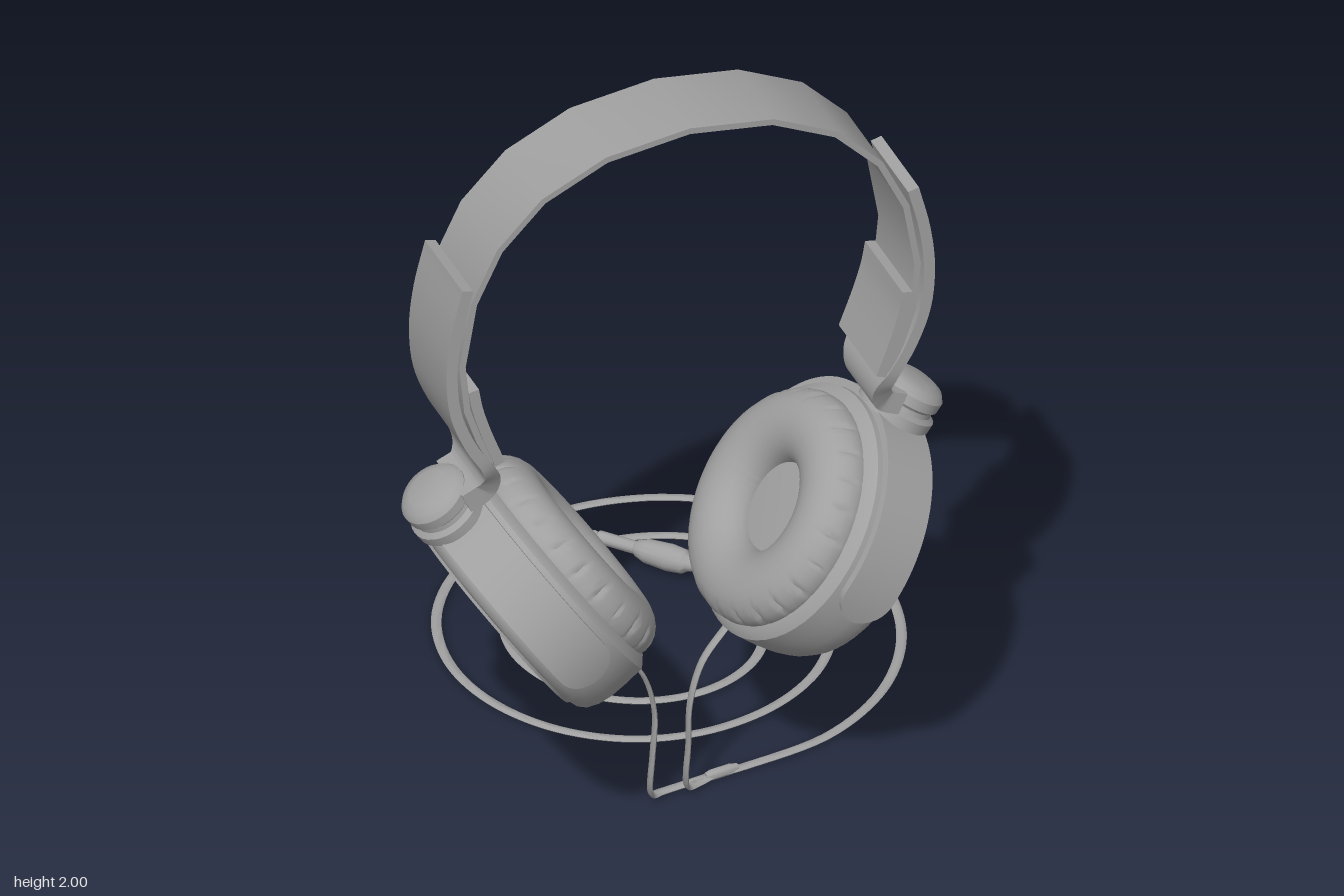
import * as THREE from 'three';
import { toCreasedNormals } from 'three/addons/utils/BufferGeometryUtils.js';

const grey = new THREE.MeshStandardMaterial({ color: 0xa0a0a0 });
const V = (x, y, z = 0) => new THREE.Vector3(x, y, z);
const Z = V(0, 0, 1), Y = V(0, 1, 0);
const RECT = [[1, 1], [-1, 1], [-1, -1], [1, -1]];
const OVAL = Array.from({ length: 10 }, (_, i) => [Math.cos(i * Math.PI / 5), Math.sin(i * Math.PI / 5)]);

function mesh(name, geometry, crease = 0.9) {
  const m = new THREE.Mesh(toCreasedNormals(geometry, crease), grey);
  m.name = name;
  return m;
}

// Carries a closed section along points; side(t) gives the width direction, size(k) the half sizes
function sweep(points, section, side, size) {
  const n = section.length, last = points.length - 1, pos = [], idx = [];
  points.forEach((p, i) => {
    const t = points[Math.min(i + 1, last)].clone().sub(points[Math.max(i - 1, 0)]).normalize();
    const w = side(t).clone();
    w.addScaledVector(t, -w.dot(t)).normalize();
    const h = t.clone().cross(w);
    const [a, b] = size(i / last);
    for (const [u, v] of section) {
      pos.push(...p.clone().addScaledVector(w, u * a).addScaledVector(h, v * b).toArray());
    }
  });
  for (let i = 0; i < last; i++) {
    for (let j = 0; j < n; j++) {
      const a = i * n + j, b = i * n + (j + 1) % n;
      idx.push(a, b, b + n, a, b + n, a + n);
    }
  }
  for (let j = 1; j < n - 1; j++) {
    idx.push(0, j + 1, j, last * n, last * n + j, last * n + j + 1);
  }
  const g = new THREE.BufferGeometry();
  g.setAttribute('position', new THREE.Float32BufferAttribute(pos, 3));
  g.setIndex(idx);
  return g;
}

const smooth = (pts, n) => new THREE.CatmullRomCurve3(pts, false, 'centripetal').getPoints(n);
// Profile rows are [radius, height], listed from the bottom up
const lathe = (rows, n) => new THREE.LatheGeometry(rows.map(([r, y]) => new THREE.Vector2(r, y)), n);

// Ring cushion with short fine creases round its rim
function cushion() {
  const g = new THREE.TorusGeometry(0.2, 0.09, 24, 192).rotateX(Math.PI / 2).scale(1, 0.85, 1);
  const p = g.attributes.position;
  for (let i = 0; i < p.count; i++) {
    const x = p.getX(i), y = p.getY(i), z = p.getZ(i), r = Math.hypot(x, z);
    const tube = Math.atan2(y / 0.85, r - 0.2);
    const rim = Math.max(0, 1 - Math.abs(tube - 0.35) / 0.45);
    const crease = Math.pow(Math.abs(Math.cos(12 * Math.atan2(z, x))), 30);
    const k = 0.01 * rim * crease;
    p.setXYZ(i, x * (1 - k / r), y - k * 0.5, z * (1 - k / r));
  }
  return g;
}

// Ear cup in its own frame: y points to the head, x up along the cup
function earCup() {
  const cup = new THREE.Group();
  cup.name = 'earCup';
  const shell = mesh('cupShell', lathe([
    [0, 0.012], [0.238, 0.012], [0.242, -0.004], [0.264, -0.004], [0.268, 0.003], [0.287, 0.009],
    [0.303, 0.024], [0.314, 0.05], [0.319, 0.085], [0.319, 0.13], [0.316, 0.18], [0.295, 0.2], [0.2, 0.215], [0, 0.215],
  ], 56), 0.7);
  const pad = mesh('earCushion', cushion(), 1);
  pad.position.y = 0.213;

  // Half-ring yoke with rounded ends
  const arc = [], reach = 1.81;
  for (let i = 0; i <= 72; i++) {
    const a = -reach * Math.cos(i / 72 * Math.PI);
    arc.push(V(0.326 * Math.cos(a), 0.098, 0.326 * Math.sin(a)));
  }
  const yoke = mesh('yoke', sweep(arc, RECT, () => Y, k => {
    const a = reach * Math.abs(Math.cos(k * Math.PI));
    const e = Math.max(0, (a - reach + 0.23) / 0.23);
    return [Math.max(0.012, 0.068 * Math.sqrt(1 - e * e)), 0.01];
  }));

  // Swivel on top of the yoke
  const swivel = mesh('swivelKnob', lathe([
    [0, 0.32], [0.094, 0.325], [0.094, 0.352], [0.08, 0.36], [0.078, 0.372],
    [0.086, 0.38], [0.086, 0.405], [0.073, 0.422], [0.05, 0.43], [0, 0.432],
  ], 32), 0.6);
  swivel.rotation.z = -Math.PI / 2;
  swivel.position.y = 0.09;
  cup.add(shell, pad, yoke, swivel);
  cup.position.set(0.445, 0.67, 0);
  cup.rotation.z = 0.96;
  return cup;
}

// One side: cup, outer arm and inner sleeve, with the band held between them
function side(name) {
  const g = new THREE.Group();
  g.name = name;
  const armPath = smooth([
    V(0.562, 1.685), V(0.59, 1.57), V(0.602, 1.46), V(0.592, 1.345), V(0.555, 1.245),
    V(0.511, 1.17), V(0.493, 1.125), V(0.503, 1.085), V(0.55, 1.06),
  ], 40);
  const arm = mesh('outerArm', sweep(armPath, RECT, () => Z, k => {
    const e = THREE.MathUtils.smoothstep(k, 0.58, 0.9);
    return [0.116 - 0.036 * e, 0.014 + 0.014 * e];
  }));
  const sleevePath = smooth([V(0.547, 1.4), V(0.537, 1.345), V(0.516, 1.275), V(0.48, 1.178)], 14);
  const sleeve = mesh('innerSleeve', sweep(sleevePath, RECT, () => Z, () => [0.116, 0.013]));
  g.add(earCup(), arm, sleeve);
  return g;
}

// Flat cable
const cable = (name, pts, n, dir) =>
  mesh(name, sweep(smooth(pts, n), OVAL, dir, () => [0.0125, 0.0055]), 1.1);

// Turned part laid along a line between two points
function turned(name, rows, from, to) {
  const m = mesh(name, lathe(rows, 18), 0.6);
  m.position.copy(from);
  m.quaternion.setFromUnitVectors(Y, to.clone().sub(from).normalize());
  return m;
}

export function createModel() {
  const model = new THREE.Group();
  model.name = 'headphones';

  const headset = new THREE.Group();
  headset.name = 'headset';
  headset.position.set(-0.083, 0, 0.465);

  // Faceted headband, mirrored about its top
  const half = [[0.21, 1.963], [0.37, 1.887], [0.48, 1.775], [0.545, 1.64], [0.574, 1.47], [0.562, 1.345], [0.532, 1.255], [0.498, 1.185]];
  const bandPath = [
    ...half.map(([x, y]) => V(-x, y)).reverse(), V(0, 1.991), ...half.map(([x, y]) => V(x, y)),
  ];
  headset.add(mesh('headband', sweep(bandPath, RECT, () => Z, () => [0.112, 0.008])));

  const left = side('leftSide'), right = side('rightSide');
  right.rotation.y = Math.PI; // each side is symmetric front to back
  headset.add(left, right);
  model.add(headset);

  // Two leads dropping from the cups to the splitter
  for (const [name, s, drop] of [['leftLead', 1, -0.038], ['rightLead', -1, -0.128]]) {
    model.add(cable(name, [
      V(-0.083 + s * 0.17, 0.53, 0.465), V(-0.083 + s * 0.135, 0.49, 0.467), V(-0.083 + s * 0.075, 0.41, 0.468),
      V(drop, 0.3, 0.466), V(drop, 0.17, 0.455), V(drop + 0.002, 0.07, 0.435),
      V(drop + 0.02, 0.02, 0.405), V(drop + 0.05, 0.01, 0.388), V(0.06, 0.009, 0.368),
    ], 48, () => Z));
  }
  model.add(turned('splitter', [[0, 0], [0.009, 0], [0.013, 0.015], [0.013, 0.065], [0.009, 0.085], [0, 0.085]],
    V(0.04, 0.012, 0.372), V(0.12, 0.012, 0.362)));

  // Coil on the ground: quarter ellipses between its outermost points
  const ends = [
    [0.15, 0.36], [0.732, -0.23], [0.196, -0.787], [-0.333, -0.285], [0.11, 0.192], [0.572, -0.23],
    [0.19, -0.63], [-0.176, -0.285], [0.13, 0.038], [0.413, -0.23],
  ];
  const coil = [V(0.06, 0.008, 0.368)];
  for (let i = 0; i < ends.length - 1; i++) {
    const a = ends[i], b = ends[i + 1];
    const c = i % 2 ? [b[0], a[1]] : [a[0], b[1]];
    for (let k = 0; k < 4; k++) {
      const f = k * Math.PI / 8, cs = Math.cos(f), sn = Math.sin(f);
      coil.push(V(c[0] + (a[0] - c[0]) * cs + (b[0] - c[0]) * sn, 0.008,
        c[1] + (a[1] - c[1]) * cs + (b[1] - c[1]) * sn));
    }
  }
  coil.push(V(0.413, 0.01, -0.23), V(0.403, 0.02, -0.31), V(0.352, 0.036, -0.405));
  model.add(cable('coiledCable', coil, 260, t => t.clone().cross(Y)));

  // Plug at the end of the cable
  model.add(turned('plug', [
    [0, 0], [0.012, 0], [0.016, 0.03], [0.02, 0.05], [0.029, 0.062], [0.033, 0.1], [0.029, 0.16],
    [0.02, 0.185], [0.016, 0.19], [0.016, 0.285], [0.011, 0.29], [0.013, 0.3], [0.004, 0.318], [0, 0.318],
  ], V(0.36, 0.036, -0.395), V(0.15, 0.04, -0.635)));
  return model;
}
